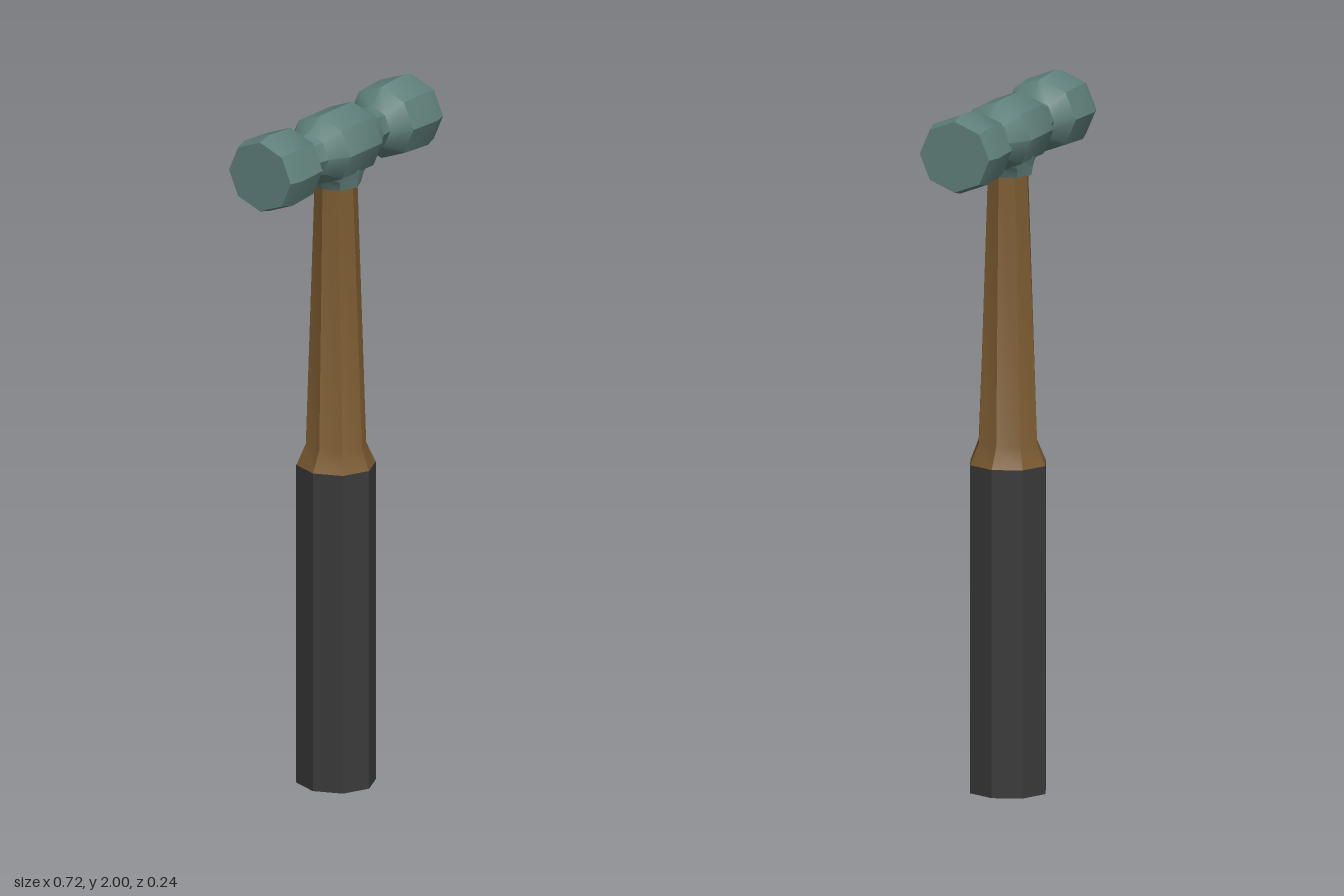
import * as THREE from 'three';
import { toCreasedNormals } from 'three/addons/utils/BufferGeometryUtils.js';

// Eight-sided turned solid; each row is [height, radius along x, radius along z]
function turned(rows) {
  const profile = rows.map(([y, rx]) => new THREE.Vector2(rx, y));
  const geo = new THREE.LatheGeometry(profile, 8);
  const pos = geo.attributes.position;
  for (let i = 0; i < pos.count; i++) {
    const [, rx, rz] = rows[i % rows.length];
    if (rx > 0) pos.setZ(i, pos.getZ(i) * rz / rx);
  }
  return geo;
}

function part(name, geo, color, crease) {
  const mesh = new THREE.Mesh(
    toCreasedNormals(geo, crease),
    new THREE.MeshStandardMaterial({ color })
  );
  mesh.name = name;
  return mesh;
}

export function createModel() {
  const group = new THREE.Group();
  group.name = 'hammer';
  const steel = 0x5f7f7a, wood = 0x7a5a30, rubber = 0x3a3a3a;

  // Straight grip, closed at the bottom
  group.add(part('grip', turned([
    [0, 0, 0], [0, 0.11, 0.115], [0.94, 0.11, 0.115], [0.94, 0, 0]
  ]), rubber, 0.5));

  // Tapered shaft flaring into the grip
  group.add(part('shaft', turned([
    [0.94, 0.109, 0.114], [1.0, 0.079, 0.09], [1.86, 0.062, 0.055]
  ]), wood, 0.5));

  // Double-faced head: half profile mirrored along its length
  const half = [[0.36, 0.107], [0.32, 0.118], [0.215, 0.111], [0.17, 0.064], [0.13, 0.07], [0.075, 0.106]];
  const rows = [
    [-0.36, 0, 0],
    ...half.map(([l, r]) => [-l, r * 0.95, r]),
    ...half.slice().reverse().map(([l, r]) => [l, r * 0.95, r]),
    [0.36, 0, 0]
  ];
  const headGeo = turned(rows).rotateZ(Math.PI / 2).translate(0, 1.888, 0);
  group.add(part('head', headGeo, steel, 0.7));

  // Socket blending the head down to the shaft
  group.add(part('socket', turned([
    [1.77, 0, 0], [1.77, 0.068, 0.072], [1.795, 0.08, 0.076], [1.83, 0.122, 0.08], [1.87, 0.122, 0.08]
  ]), steel, 0.7));

  return group;
}
